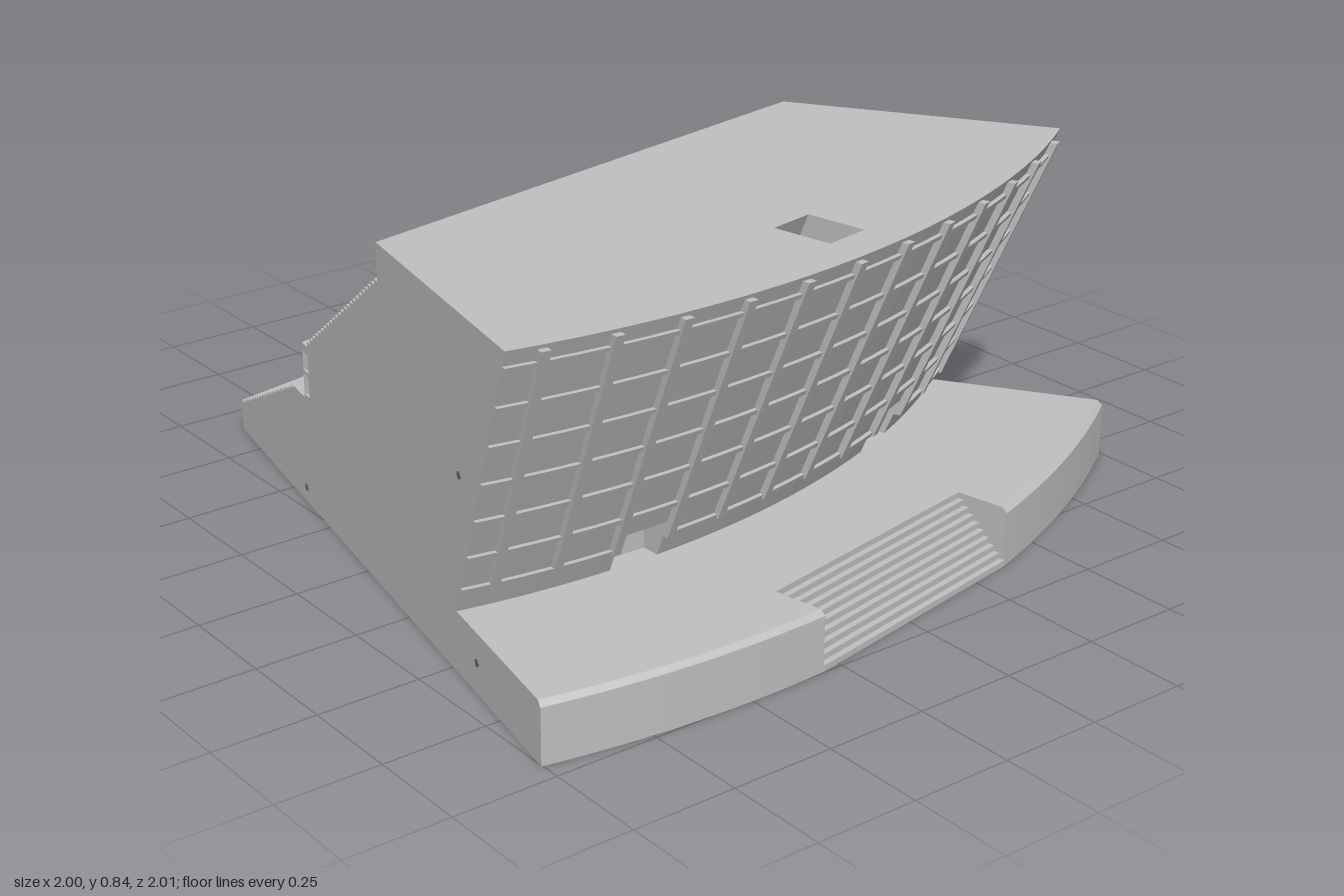
import * as THREE from 'three';
import { mergeGeometries } from 'three/addons/utils/BufferGeometryUtils.js';

// Plan coordinates are [u, v]: u across the wedge, v outward from its apex.
const HALF = Math.PI / 8, T = Math.tan(HALF), DEG = Math.PI / 180;
const BACK = 0.724, WALL = 1.19, ROOF = 1.68, PLINTH = 0.145, TOP = 0.84;
const facadeR = y => 2.226 + (y - PLINTH) * 0.417;
const polar = (r, a) => [r * Math.sin(a), r * Math.cos(a)];
const arc = (r, a0, a1, n = 24) =>
  Array.from({ length: n + 1 }, (_, i) => polar(r, a0 + (a1 - a0) * i / n));
const rect = (u0, u1, v0, v1) => [[u0, v0], [u1, v0], [u1, v1], [u0, v1]];
const strip = (v0, v1) => [[-v0 * T, v0], [v0 * T, v0], [v1 * T, v1], [-v1 * T, v1]];

// Solid between two outlines with equal point counts, at heights y0 and y1
function loft(low, high, y0, y1, holeLow = null, holeHigh = null) {
  const pos = [];
  const vec = p => new THREE.Vector2(p[0], p[1]);
  const ordered = (a, b, clockwise) =>
    THREE.ShapeUtils.isClockWise(a.map(vec)) === clockwise ? [a, b] : [[...a].reverse(), [...b].reverse()];
  const rings = [ordered(low, high, false)];
  if (holeLow) rings.push(ordered(holeLow, holeHigh, true));
  const put = (p, y) => pos.push(p[0], y, p[1]);
  for (const [a, b] of rings) {
    a.forEach((p, i) => {
      const j = (i + 1) % a.length;
      put(p, y0); put(b[i], y1); put(b[j], y1);
      put(p, y0); put(b[j], y1); put(a[j], y0);
    });
  }
  [0, 1].forEach(k => {
    const all = rings.flatMap(r => r[k]);
    const holes = rings.slice(1).map(r => r[k].map(vec));
    for (const f of THREE.ShapeUtils.triangulateShape(rings[0][k].map(vec), holes)) {
      (k ? [f[0], f[2], f[1]] : f).forEach(i => put(all[i], k ? y1 : y0));
    }
  });
  const g = new THREE.BufferGeometry();
  g.setAttribute('position', new THREE.Float32BufferAttribute(pos, 3));
  g.computeVertexNormals();
  return g;
}
const prism = (outline, y0, y1) => loft(outline, outline, y0, y1);

// Wedge outline from the roof's back line to an arc, with notches cut in the arc
function wedge(r, notches = []) {
  const pts = [[-ROOF * T, ROOF], [ROOF * T, ROOF]];
  let a = HALF;
  for (const n of notches) {
    pts.push(...arc(r, a, n.from, 12), ...n.inner);
    a = n.to;
  }
  return pts.concat(arc(r, a, -HALF, notches.length ? 12 : 24));
}

export function createModel() {
  const concrete = new THREE.MeshStandardMaterial({ color: 0xc0c0c0 });
  const recess = new THREE.MeshStandardMaterial({ color: 0x6a6a6a });
  const stand = new THREE.Group();
  stand.name = 'grandstandSection';
  const add = (name, geoms, material = concrete) => {
    const m = new THREE.Mesh(mergeGeometries(geoms), material);
    m.name = name;
    stand.add(m);
  };

  // Plinth with a chamfered rim and a notch for the stairs
  const stairU = 0.336, stairV = 2.504;
  const plinth = r => wedge(r, [{
    from: Math.asin(stairU / r), to: -Math.asin(stairU / r),
    inner: [[stairU, stairV], [-stairU, stairV]]
  }]);
  add('plinth', [
    prism(plinth(2.66), 0, 0.133),
    loft(plinth(2.66), plinth(2.648), 0.133, PLINTH)
  ]);

  // Entrance stairs
  const steps = 9, run = (2.639 - stairV) / steps;
  add('entranceStairs', Array.from({ length: steps }, (_, i) =>
    prism(rect(-stairU, stairU, stairV + i * run, stairV + (i + 1) * run),
      0, PLINTH * (steps - i) / (steps + 1))));

  // Leaning main block: door band, body, and roof layer with a sloping shaft
  const doorA = 11.2 * DEG, doorW = 0.029, doorTop = 0.24;
  const band = r => wedge(r, [doorA, -doorA].map(c => ({
    from: c + doorW, to: c - doorW,
    inner: [polar(2.18, c + doorW), polar(2.18, c - doorW)]
  })));
  const shaftY = 0.74;
  add('mainBlock', [
    loft(band(facadeR(PLINTH)), band(facadeR(doorTop)), PLINTH, doorTop),
    loft(wedge(facadeR(doorTop)), wedge(facadeR(shaftY)), doorTop, shaftY),
    loft(wedge(facadeR(shaftY)), wedge(facadeR(TOP)), shaftY, TOP,
      rect(-0.06, 0.06, 2.22, 2.374), rect(-0.06, 0.06, 2.262, 2.416))
  ]);

  // Facade ribs
  const ribs = [];
  for (let i = 0; i < 12; i++) {
    const a = (i - 5.5) * 3.75 * DEG, w = 0.0045;
    const foot = y => [polar(facadeR(y) - 0.01, a - w), polar(facadeR(y) - 0.01, a + w),
      polar(facadeR(y) + 0.018, a + w), polar(facadeR(y) + 0.018, a - w)];
    ribs.push(loft(foot(0.2), foot(0.83), 0.2, 0.83));
  }
  add('facadeRibs', ribs);

  // Facade rails, broken where the doors pass through the lowest one
  const rails = [];
  const rail = (y, a0, a1) => {
    const ring = h => [...arc(facadeR(h) + 0.012, a1, a0), ...arc(facadeR(h) - 0.01, a0, a1)];
    rails.push(loft(ring(y), ring(y + 0.012), y, y + 0.012));
  };
  for (let i = 1; i < 7; i++) rail(0.19 + i * 0.1, -HALF, HALF);
  rail(0.2, -HALF, -doorA - doorW);
  rail(0.2, -doorA + doorW, doorA - doorW);
  rail(0.2, doorA + doorW, HALF);
  add('facadeRails', rails);

  // Stepped seating with two sunken entrances and narrow aisle steps
  function tier(name, v0, v1, y0, y1, n, ventU, ventV) {
    const rows = [], aisles = [], d = (v1 - v0) / n, rise = (y1 - y0) / (n - 1);
    const w = 0.0375, half = 0.052;
    const floor = y0 + rise * Math.floor((ventV - half - v0) / d) - 0.015;
    for (let i = 0; i < n; i++) {
      const a = v0 + i * d, b = a + d, y = y0 + rise * i;
      if (Math.abs((a + b) / 2 - ventV) < half) {
        const l = ventU - w, r = ventU + w;
        for (const s of [-1, 1]) {
          rows.push(prism([[s * r, a], [s * a * T, a], [s * b * T, b], [s * r, b]], 0, y));
          rows.push(prism(rect(s * l - w, s * l + w, a, b).map(p => [s * ventU + (p[0] - s * l), p[1]]), 0, floor));
        }
        rows.push(prism(rect(-l, l, a, b), 0, y));
      } else {
        rows.push(prism(strip(a, b), 0, y));
      }
      if (i < n - 1) {
        for (const deg of [-18, -4, 4, 18]) {
          const c = b * Math.tan(deg * DEG);
          aisles.push(prism(rect(c - 0.012, c + 0.012, b - d / 2, b), y - 0.002, y + rise / 2));
        }
      }
    }
    add(name, rows);
    add(name + 'Aisles', aisles);
  }
  tier('lowerTier', BACK, 1.12, 0.08, 0.275, 20, 0.137, 0.948);
  tier('upperTier', WALL + 0.035, ROOF, 0.435, 0.75, 24, 0.327, 1.42);

  // Walkway and window band between the tiers
  add('walkway', [prism(strip(1.12, WALL + 0.035), 0, 0.28)]);
  const frame = [[0.28, 0.29], [0.342, 0.352], [0.4, 0.42]]
    .map(([a, b]) => prism(strip(WALL, WALL + 0.036), a, b));
  const bars = 16, reach = WALL * T - 0.007;
  for (let i = 0; i <= bars; i++) {
    const u = -reach + 2 * reach * i / bars;
    frame.push(prism(rect(u - 0.006, u + 0.006, WALL, WALL + 0.036), 0.28, 0.41));
  }
  add('windowFrame', frame);

  // Small sockets on both side walls
  const sockets = [];
  for (const s of [-1, 1]) {
    for (const [v, y] of [[2.09, 0.475], [2.157, 0.075], [1.18, 0.04]]) {
      const g = new THREE.CylinderGeometry(0.009, 0.009, 0.004, 12);
      g.rotateZ(Math.PI / 2).rotateY(s * HALF).translate(s * v * T, y, v);
      sockets.push(g);
    }
  }
  add('sideSockets', sockets, recess);

  // Turn the wedge and centre it
  stand.rotation.y = 11 * DEG;
  stand.position.set(-0.473, 0, -1.656);
  const model = new THREE.Group();
  model.name = 'stadiumWedge';
  model.add(stand);
  return model;
}
